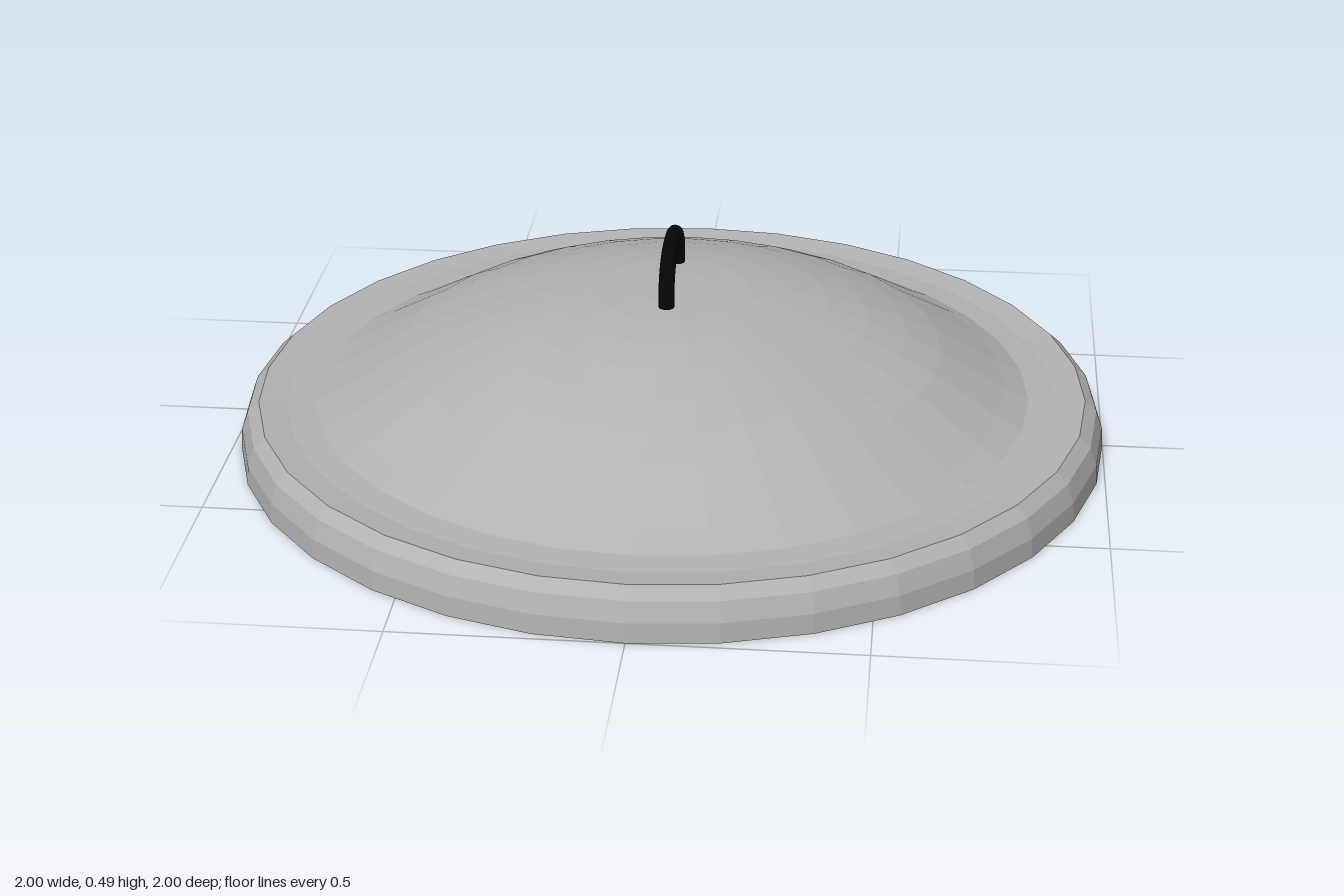
import * as THREE from 'three';

const steel = new THREE.MeshStandardMaterial({ name: 'steelGrey', color: 0xb2b2b2, side: THREE.DoubleSide, flatShading: true });
const black = new THREE.MeshStandardMaterial({ name: 'handleBlack', color: 0x060606 });

export function createModel() {
  const model = new THREE.Group();
  model.name = 'lid';

  const addMesh = (name, geometry, material) => {
    const mesh = new THREE.Mesh(geometry, material);
    mesh.name = name;
    model.add(mesh);
    return mesh;
  };
  const lathe = (profile) =>
    new THREE.LatheGeometry(profile.map(([r, y]) => new THREE.Vector2(r, y)), 32);

  // Rim: rounded shoulder and a nearly flat ledge
  addMesh('rim', lathe([
    [1, 0], [0.997, 0.045], [0.982, 0.088], [0.955, 0.112], [0.89, 0.104], [0.825, 0.108],
  ]), steel);

  // Dome: rises steeply from the ledge and rounds over to the top
  const domeProfile = [
    [0.825, 0.108], [0.77, 0.135], [0.7, 0.176], [0.62, 0.222], [0.54, 0.259],
    [0.45, 0.292], [0.36, 0.319], [0.27, 0.339], [0.18, 0.353], [0.09, 0.36], [0, 0.362],
  ];
  addMesh('dome', lathe(domeProfile), steel);

  // Underside: sloped inner wall, flat ring, then a smaller copy of the dome
  addMesh('rimUnderside', lathe([[0.745, 0.07], [0.9, 0.07], [0.957, 0.042], [1, 0]]), steel);
  const innerDome = domeProfile.map(([r, y]) => [r * 0.903, 0.07 + (y - 0.108) * 0.9]);
  addMesh('domeUnderside', lathe(innerDome.reverse()), steel);

  // Handle: arched rod running front to back, just above the dome
  const arch = new THREE.CatmullRomCurve3([
    [0.367, 0.133], [0.4, 0.132], [0.434, 0.117], [0.461, 0.08], [0.473, 0.035],
    [0.473, -0.035], [0.461, -0.08], [0.434, -0.117], [0.4, -0.132], [0.367, -0.133],
  ].map(([y, z]) => new THREE.Vector3(0, y, z)));
  const radius = 0.018;
  addMesh('handle', new THREE.TubeGeometry(arch, 28, radius, 12), black);

  // Flat ends of the handle
  for (const side of [1, -1]) {
    const end = addMesh('handleEnd', new THREE.CircleGeometry(radius, 12), black);
    end.rotation.x = Math.PI / 2;
    end.position.set(0, 0.367, side * 0.133);
  }

  return model;
}
